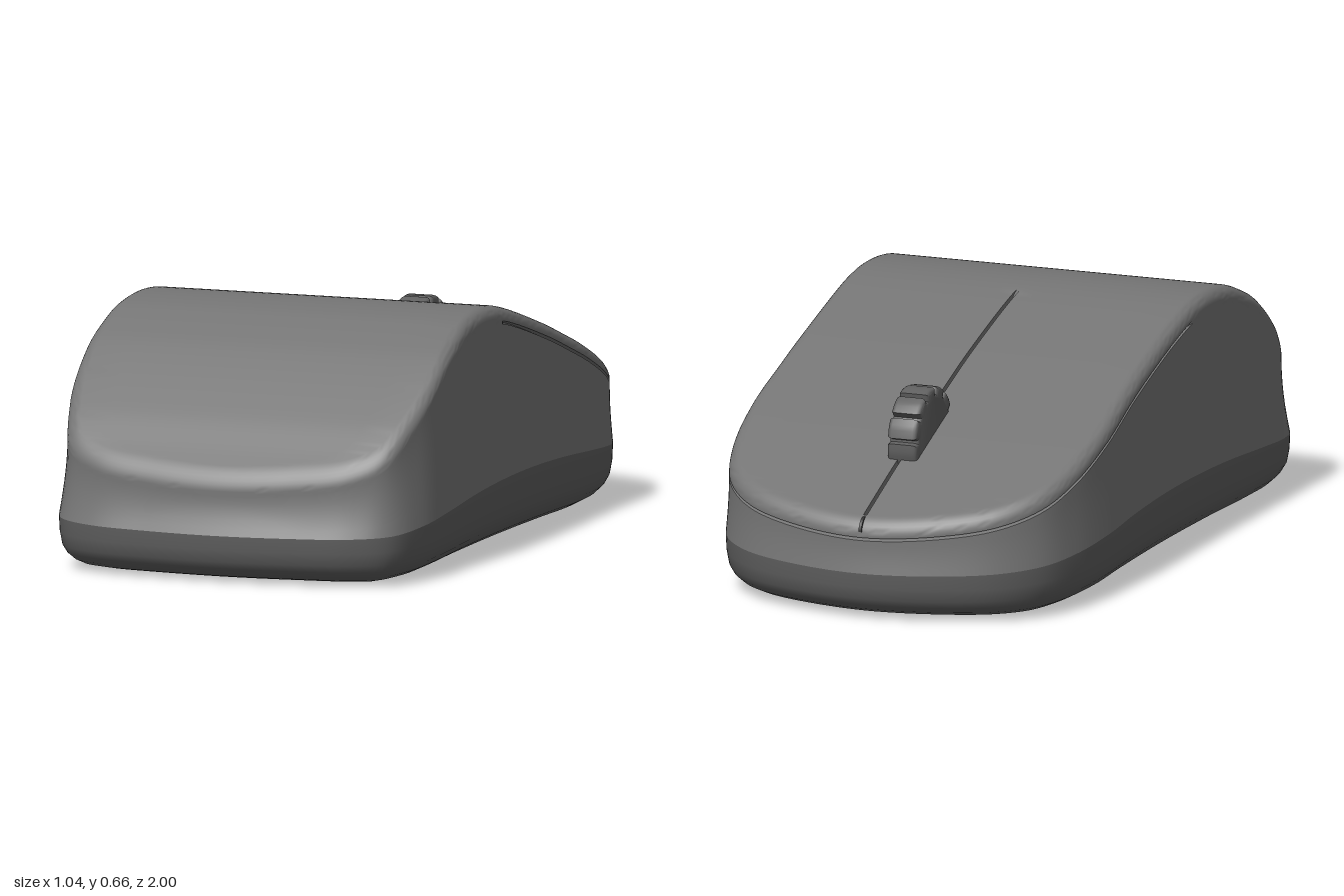
import * as THREE from 'three';
import { toCreasedNormals } from 'three/addons/utils/BufferGeometryUtils.js';

const N = 256;
const paint = (color) => new THREE.MeshStandardMaterial({ color, side: THREE.DoubleSide });
const shellGrey = paint(0x757575), baseGrey = paint(0x5e5e5e), wheelGrey = paint(0x606060), seamGrey = paint(0x303030);

// Half plan outline (x, z), from the middle of the button end to the palm end
const HALF = [[0, -1], [0.2, -0.97], [0.36, -0.905], [0.455, -0.81], [0.5, -0.68], [0.518, -0.5], [0.513, -0.3],
  [0.509, 0], [0.513, 0.35], [0.52, 0.6], [0.512, 0.77], [0.47, 0.9], [0.37, 0.957], [0.2, 0.985], [0, 0.997]];
// Height of the top along the centre line (z, y)
const SPINE = [[-1, 0.263], [-0.8, 0.343], [-0.6, 0.42], [-0.4, 0.494], [-0.2, 0.562], [0.1, 0.645], [0.25, 0.664],
  [0.4, 0.652], [0.5, 0.62], [0.6, 0.573], [0.8, 0.43], [0.9, 0.342], [0.97, 0.282]];
const SHOULDER = 0.035;

// Smooth height function through the spine points
function topHeight(z) {
  const n = SPINE.length - 1;
  z = THREE.MathUtils.clamp(z, SPINE[0][0], SPINE[n][0]);
  let i = 0;
  while (i < n - 1 && z > SPINE[i + 1][0]) i++;
  const slope = (k) => {
    const a = SPINE[Math.max(k - 1, 0)], b = SPINE[Math.min(k + 1, n)];
    return (b[1] - a[1]) / (b[0] - a[0]);
  };
  const [z0, y0] = SPINE[i], [z1, y1] = SPINE[i + 1];
  const h = z1 - z0, t = (z - z0) / h, t2 = t * t, t3 = t2 * t;
  return (2 * t3 - 3 * t2 + 1) * y0 + (t3 - 2 * t2 + t) * h * slope(i)
    + (3 * t2 - 2 * t3) * y1 + (t3 - t2) * h * slope(i + 1);
}

const seamHeight = (z) => 0.13 + 0.06 * Math.cos(z * Math.PI / 2);
const grooveWeight = (z) => 1 - THREE.MathUtils.smoothstep(z, 0.1, 0.13);
// The wall leans inward more at the palm end
const lean = (z) => 0.009 + 0.017 * THREE.MathUtils.smoothstep(z, 0.6, 0.95);

// Sampled closed outline with outward normals
function makeOutline() {
  const right = HALF.map(([x, z]) => new THREE.Vector3(x, 0, z));
  const left = HALF.slice(1, -1).reverse().map(([x, z]) => new THREE.Vector3(-x, 0, z));
  const curve = new THREE.CatmullRomCurve3([...right, ...left], true);
  curve.arcLengthDivisions = 1000;
  return Array.from({ length: N }, (_, i) => {
    const p = curve.getPointAt(i / N), t = curve.getTangentAt(i / N);
    return { x: p.x, z: p.z, nx: t.z, nz: -t.x };
  });
}
const outline = makeOutline();

// One ring: outline moved inward by inset(z), heights from y(z)
function ring(inset, y) {
  return outline.map((p) => {
    const d = inset(p.z), z = p.z - p.nz * d;
    return [p.x - p.nx * d, y(z), z];
  });
}

// Join rings, bottom to top, into a surface
function loft(rings) {
  const index = [];
  for (let k = 0; k < rings.length - 1; k++) {
    for (let i = 0; i < N; i++) {
      const a = k * N + i, b = k * N + (i + 1) % N;
      index.push(a, a + N, b, b, a + N, b + N);
    }
  }
  const geometry = new THREE.BufferGeometry();
  geometry.setAttribute('position', new THREE.Float32BufferAttribute(rings.flat(2), 3));
  geometry.setIndex(index);
  return toCreasedNormals(geometry, 0.6);
}

// Underside and rounded lower band, up to the seam
function baseGeometry() {
  const profile = [[0, 0.15], [0.03, 0.11], [0.09, 0.07], [0.18, 0.042], [0.3, 0.022], [0.45, 0.009], [0.7, 0.002], [1, 0]];
  const rings = profile.map(([f, d]) => ring(() => d, (z) => f * seamHeight(z)));
  for (const s of [0.6, 0]) rings.unshift(rings[0].map(([x, y, z]) => [x * s, y, z]));
  return loft(rings);
}

// Walls, side groove, rounded shoulder and top with the centre slit
function shellGeometry() {
  const r = SHOULDER, rings = [];
  const wallTop = (z) => topHeight(z) - 0.048;
  for (const t of [0, 0.2, 0.4, 0.6, 0.8, 1]) {
    rings.push(ring((z) => lean(z) * Math.sin(t * Math.PI / 2),
      (z) => THREE.MathUtils.lerp(seamHeight(z), wallTop(z), t)));
  }
  // Groove below the button plate
  for (const drop of [0.047, 0.041]) {
    rings.push(ring((z) => lean(z) + 0.02 * grooveWeight(z), (z) => topHeight(z) - drop));
  }
  rings.push(ring(lean, (z) => topHeight(z) - 0.04));
  // Shoulder
  for (let k = 0; k <= 7; k++) {
    const a = k / 7 * Math.PI / 2;
    rings.push(ring((z) => lean(z) + r * (1 - Math.cos(a)), (z) => topHeight(z) - r + r * Math.sin(a)));
  }
  // Top, drawn in to the centre line
  const edge = rings[rings.length - 1];
  for (const s of [0.8, 0.55, 0.3, 0.12]) rings.push(edge.map(([x, y, z]) => [x * s, y, z]));
  for (const [w, depth] of [[0.005, 0], [0.0045, 0.02], [0, 0.02]]) {
    rings.push(edge.map(([x, y, z]) => [
      Math.sign(x) * Math.min(Math.abs(x) * 0.12, w), y - depth * grooveWeight(z), z]));
  }
  return loft(rings);
}

// Scroll wheel with narrow notches across the tread
function wheelGeometry() {
  const R = 0.126, teeth = 12, step = 2 * Math.PI / teeth, points = [];
  for (let k = 0; k < teeth; k++) {
    for (const [f, depth] of [[0, 0.018], [0.36, 0.018], [0.4, 0], [0.6, -0.001], [0.8, -0.001], [0.96, 0]]) {
      const a = (k + f) * step;
      points.push(new THREE.Vector2((R - depth) * Math.cos(a), (R - depth) * Math.sin(a)));
    }
  }
  const geometry = new THREE.ExtrudeGeometry(new THREE.Shape(points), {
    depth: 0.06, bevelThickness: 0.012, bevelSize: 0.009, bevelSegments: 3 });
  geometry.translate(0, 0, -0.03);
  geometry.rotateY(Math.PI / 2);
  return toCreasedNormals(geometry, 0.6);
}

// Thin quarter disc that carries the centre slit over the shoulder
function slitEndGeometry() {
  const r = SHOULDER + 0.002;
  return new THREE.CylinderGeometry(r, r, 0.008, 16, 1, false, Math.PI / 2, Math.PI / 2).rotateZ(Math.PI / 2);
}

export function createModel() {
  const model = new THREE.Group();
  model.name = 'computerMouse';
  const add = (name, geometry, material) => {
    const mesh = new THREE.Mesh(geometry, material);
    mesh.name = name;
    model.add(mesh);
    return mesh;
  };
  add('base', baseGeometry(), baseGrey);
  add('shell', shellGeometry(), shellGrey);
  add('scrollWheel', wheelGeometry(), wheelGrey).position.set(-0.008, 0.415, -0.582);
  add('slitEnd', slitEndGeometry(), seamGrey).position.set(0, topHeight(-0.965) - SHOULDER, -0.956);
  return model;
}
